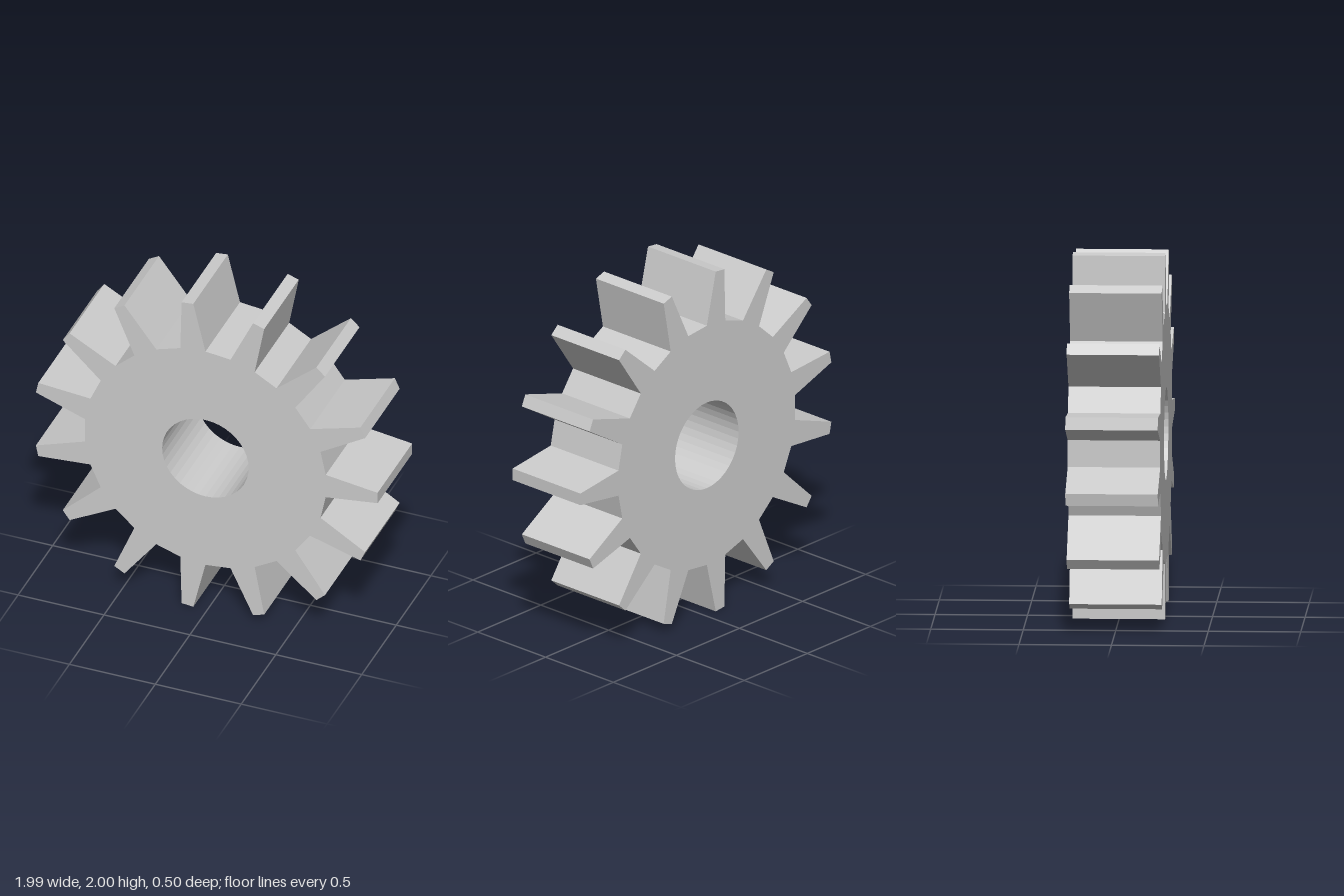
import * as THREE from 'three';

const TEETH = 15;
const TIP_RADIUS = 1.0025, ROOT_RADIUS = 0.704, BORE_RADIUS = 0.252;
const TIP_HALF = THREE.MathUtils.degToRad(1.95);
const ROOT_HALF = THREE.MathUtils.degToRad(6);
const DEPTH = 0.5;

// Gear outline: straight tapered teeth joined by flat root faces
function gearShape() {
  const points = [];
  const add = (r, a) => points.push(new THREE.Vector2(r * Math.cos(a), r * Math.sin(a)));
  for (let i = 0; i < TEETH; i++) {
    const a = (i / TEETH) * Math.PI * 2;
    add(ROOT_RADIUS, a - ROOT_HALF);
    add(TIP_RADIUS, a - TIP_HALF);
    add(TIP_RADIUS, a + TIP_HALF);
    add(ROOT_RADIUS, a + ROOT_HALF);
  }
  const shape = new THREE.Shape(points);
  // Round shaft bore
  shape.holes.push(new THREE.Path().absarc(0, 0, BORE_RADIUS, 0, Math.PI * 2, true));
  return shape;
}

export function createModel() {
  const group = new THREE.Group();
  group.name = 'spurGear';

  const geometry = new THREE.ExtrudeGeometry(gearShape(), {
    depth: DEPTH, bevelEnabled: false, curveSegments: 20,
  });
  // The odd tooth count puts the bore slightly off the middle of the bounds
  geometry.translate(-0.01, 1, -DEPTH / 2);

  const gear = new THREE.Mesh(
    geometry,
    new THREE.MeshStandardMaterial({ color: 0xcccccc, flatShading: true }),
  );
  gear.name = 'toothedWheel';
  group.add(gear);
  return group;
}
